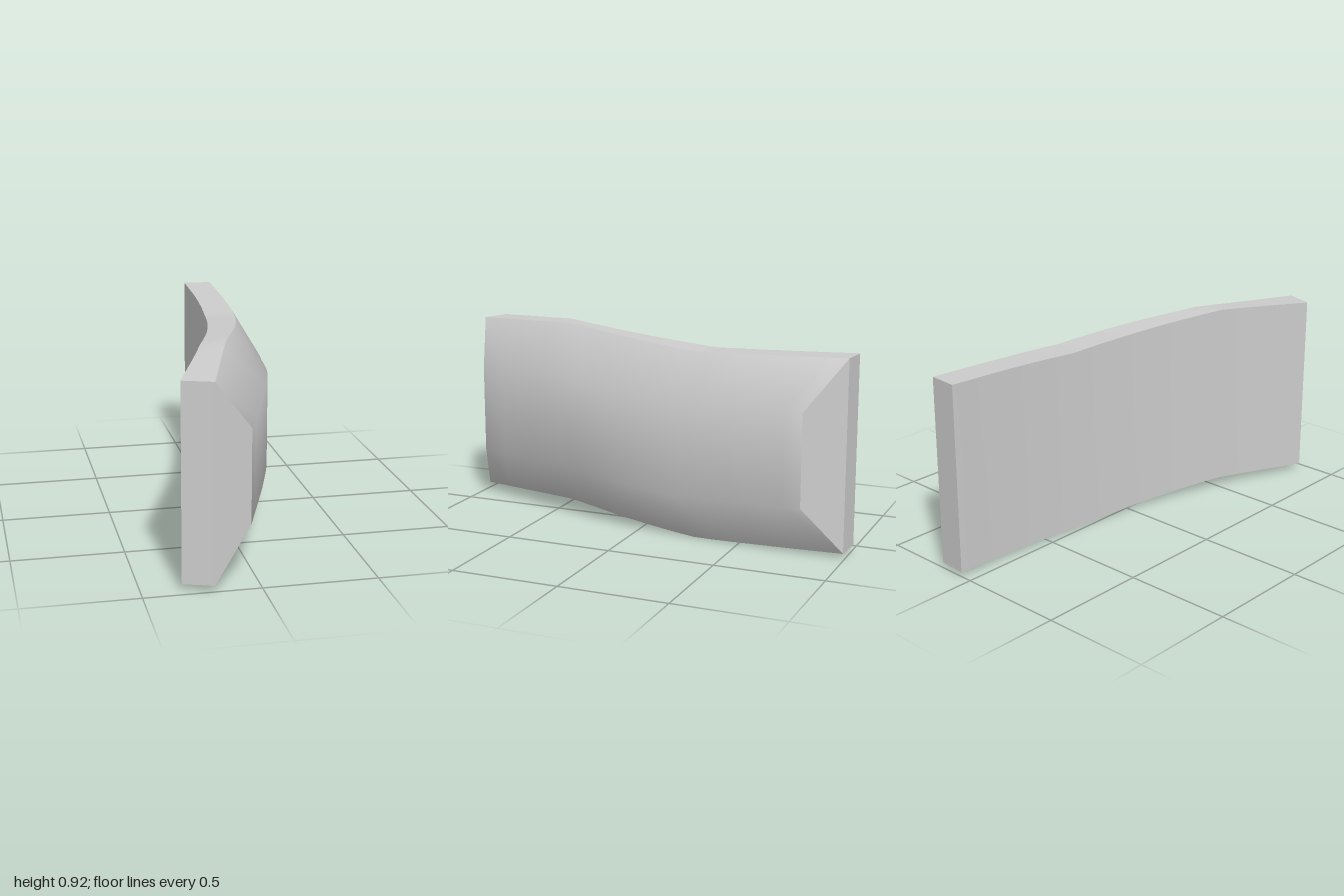
import * as THREE from 'three';

// Rails of the sweep, seen from above as [x, z], running from front to back
const RAILS = {
  inner: [[-0.33, 0.955], [-0.16, 0.5], [-0.045, 0.1], [0.025, -0.32], [0.05, -0.65], [0.055, -1]],
  edge: [[-0.2, 1], [-0.035, 0.45], [0.09, 0.07], [0.165, -0.28], [0.185, -0.63], [0.19, -0.99]],
  outer: [[-0.03, 0.92], [0.155, 0.4], [0.24, 0.09], [0.292, -0.22], [0.315, -0.5], [0.325, -0.83]],
};
// Heights at each station
const TOP = [0.89, 0.92, 0.8925, 0.865, 0.8775, 0.89];
const BOTTOM = [0.027, 0.045, 0.022, 0, 0.01, 0.02];
const STEPS = 20;
const INSET = 0.224;

function sample(list, t) {
  const s = t * (list.length - 1);
  const i = Math.min(Math.floor(s), list.length - 2);
  return THREE.MathUtils.lerp(list[i], list[i + 1], s - i);
}

// Rail as a list of points, along the top or bottom
function rail(name, heights, offset = 0) {
  const curve = new THREE.CatmullRomCurve3(
    RAILS[name].map(([x, z]) => new THREE.Vector3(x, 0, z)));
  return Array.from({ length: STEPS + 1 }, (_, i) => {
    const p = curve.getPoint(i / STEPS);
    p.y = sample(heights, i / STEPS) + offset;
    return p;
  });
}

// Smooth surface across neighbouring rails
function loft(rails) {
  const n = rails[0].length;
  const index = [];
  for (let u = 0; u < rails.length - 1; u++) {
    for (let v = 0; v < n - 1; v++) {
      const a = u * n + v;
      index.push(a, a + 1, a + n, a + 1, a + n + 1, a + n);
    }
  }
  const geometry = new THREE.BufferGeometry().setFromPoints(rails.flat());
  geometry.setIndex(index);
  geometry.computeVertexNormals();
  return geometry;
}

export function createModel() {
  const group = new THREE.Group();
  group.name = 'curvedPanel';
  const grey = new THREE.MeshStandardMaterial({ color: 0xcccccc });
  grey.name = 'light grey';

  const add = (name, geometry) => {
    const mesh = new THREE.Mesh(geometry, grey);
    mesh.name = name;
    group.add(mesh);
  };

  const innerLow = rail('inner', BOTTOM);
  const innerHigh = rail('inner', TOP);
  const edgeLow = rail('edge', BOTTOM);
  const edgeHigh = rail('edge', TOP);
  const outerLow = rail('outer', BOTTOM, INSET);
  const outerHigh = rail('outer', TOP, -INSET);

  // Long sides
  add('bulgedFace', loft([edgeLow, outerLow, outerHigh, edgeHigh]));
  add('topSide', loft([edgeHigh, innerHigh]));
  add('innerFace', loft([innerHigh, innerLow]));
  add('bottomSide', loft([innerLow, edgeLow]));

  // End caps: a flat rectangle and a bevelled trapezoid at each end
  const plates = {
    EndPlate: [innerLow, edgeLow, edgeHigh, innerHigh],
    EndBevel: [edgeLow, outerLow, outerHigh, edgeHigh],
  };
  for (const [name, rails] of Object.entries(plates)) {
    for (const [end, i] of [['front', 0], ['back', STEPS]]) {
      const geometry = new THREE.BufferGeometry().setFromPoints(rails.map((r) => r[i]));
      geometry.setIndex(i === 0 ? [0, 1, 2, 0, 2, 3] : [0, 2, 1, 0, 3, 2]);
      geometry.computeVertexNormals();
      add(end + name, geometry);
    }
  }
  return group;
}
